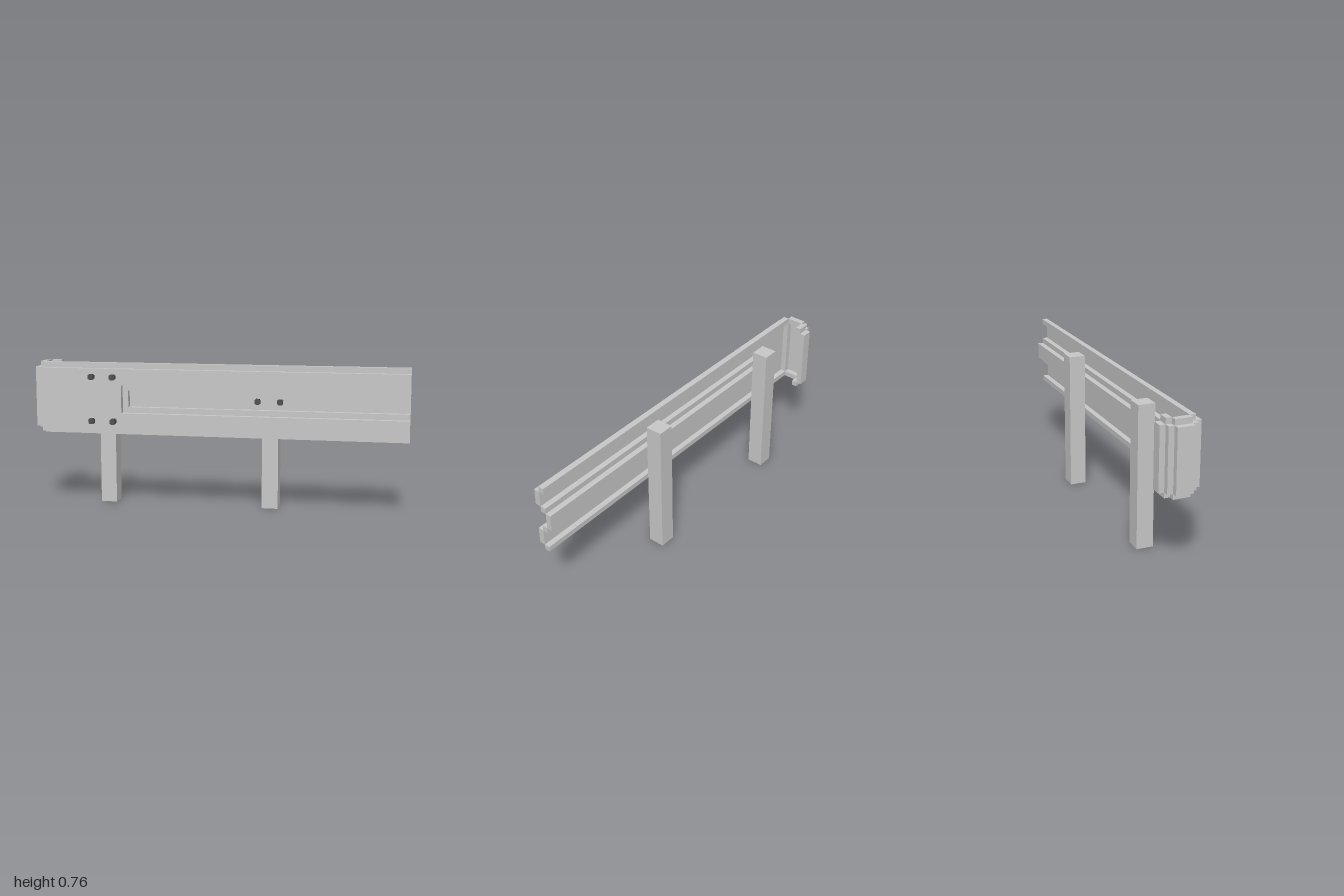
import * as THREE from 'three';

export function createModel() {
  const model = new THREE.Group();
  const steel = new THREE.MeshStandardMaterial({ color: 0xc8c8c8 });
  steel.name = 'galvanised steel';
  const dark = new THREE.MeshStandardMaterial({ color: 0x505050 });
  dark.name = 'dark bolt metal';

  // Axis-aligned box given by its limits on each axis
  function block(name, [x0, x1], [y0, y1], [z0, z1], material = steel, parent = model) {
    const mesh = new THREE.Mesh(new THREE.BoxGeometry(x1 - x0, y1 - y0, z1 - z0), material);
    mesh.position.set((x0 + x1) / 2, (y0 + y1) / 2, (z0 + z1) / 2);
    mesh.name = name;
    parent.add(mesh);
    return mesh;
  }

  const t = 0.0294; // sheet thickness
  const face = [0.412, 0.735];
  const lips = [[0.384, 0.412], [0.735, 0.765]];
  const front = [2 * t, 3 * t + 0.001], middle = [t, 2 * t], back = [0, t];

  // Front sheet: two long bands joined by a solid end plate
  block('endPlate', [-0.94, -0.505], face, front);
  block('lowerBand', [-0.505, 1], [face[0], 0.5], front);
  block('upperBand', [-0.505, 1], [0.648, face[1]], front);

  // Recessed channel stepping back through the sheet
  block('lowerChannelWall', [-0.765, 1], [0.5, 0.53], middle);
  block('upperChannelWall', [-0.765, 1], [0.618, 0.648], middle);
  block('channelEnd', [-0.505, -0.475], [0.53, 0.618], middle);
  block('channelBack', [-0.765, 1], [0.53, 0.618], back);

  // Folded lips along the rail and around the curled end
  for (const y of lips) {
    block('railLip', [-0.94, 1], y, middle);
    block('curlSideLip', [-0.97, -0.94], y, [-2 * t, t]);
    block('curlTipLip', [-0.94, -0.885], y, [-3 * t, -2 * t]);
  }

  // Curled end
  block('curlFrontCorner', [-0.97, -0.94], face, middle);
  block('curlSide', [-1, -0.97], face, [-2 * t, t]);
  block('curlBackCorner', [-0.97, -0.94], face, [-3 * t, -2 * t]);
  block('curlTip', [-0.94, -0.885], face, [-0.117, -3 * t]);

  // Posts
  for (const x of [-0.607, 0.278]) {
    block('post', [x - 0.043, x + 0.043], [0, 0.735], [-0.087, 0]);
  }

  // Bolts: two crossed blocks give a notched head
  function bolt(x, y, z) {
    const group = new THREE.Group();
    group.name = 'bolt';
    const a = 0.0145, b = 0.0095;
    block('boltHeadWide', [x - a, x + a], [y - b, y + b], [z, z + 0.0285], dark, group);
    block('boltHeadTall', [x - b, x + b], [y - a, y + a], [z, z + 0.028], dark, group);
    model.add(group);
  }
  for (const x of [-0.665, -0.548]) {
    for (const y of [0.456, 0.692]) bolt(x, y, 3 * t + 0.001);
  }
  for (const x of [0.217, 0.335]) bolt(x, 0.574, t);

  return model;
}
